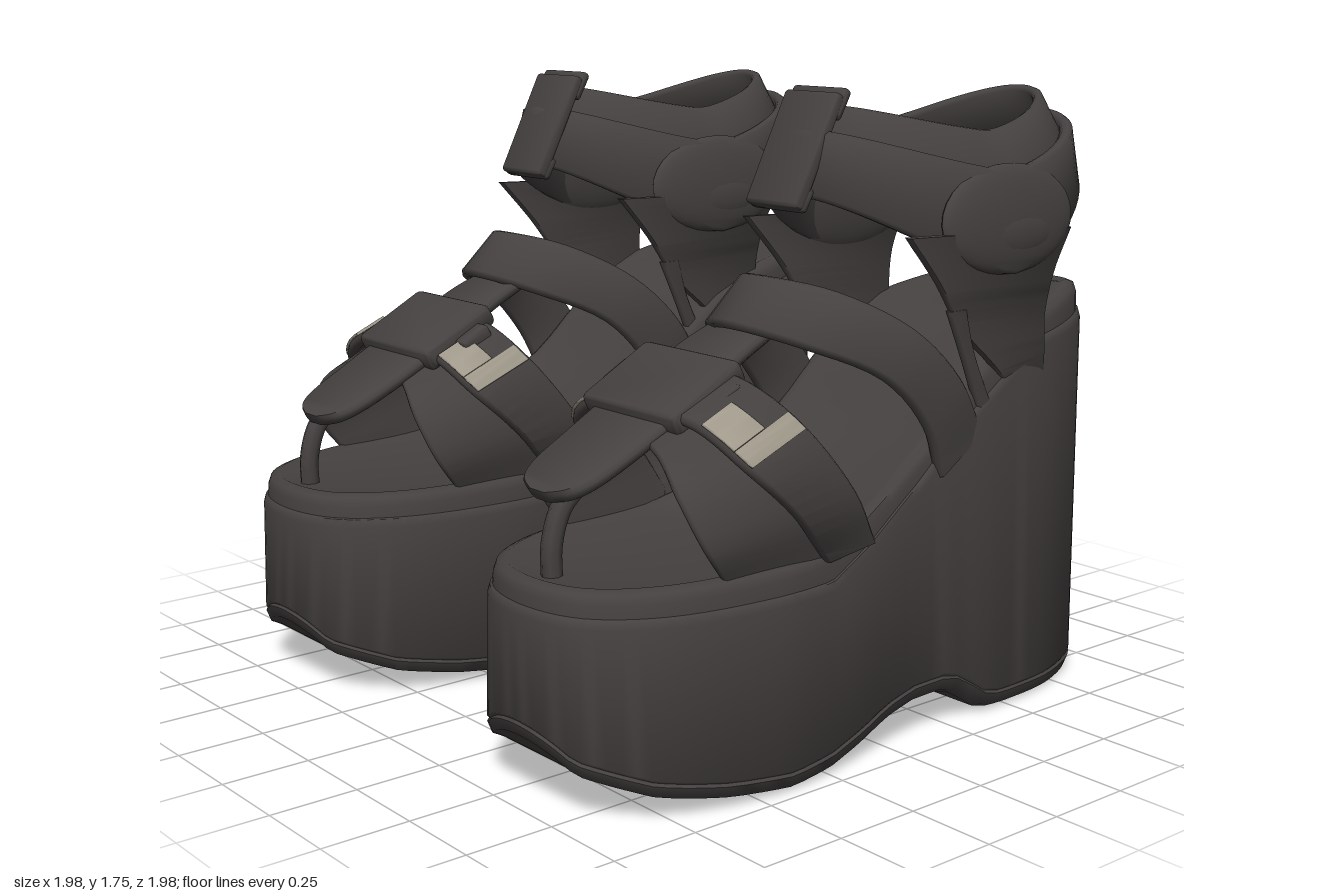
import * as THREE from 'three';
import { toCreasedNormals } from 'three/addons/utils/BufferGeometryUtils.js';
import { RoundedBoxGeometry } from 'three/addons/geometries/RoundedBoxGeometry.js';

const leather = new THREE.MeshStandardMaterial({ color: 0x454140 });
leather.name = 'charcoal leather';
const metal = new THREE.MeshStandardMaterial({ color: 0xa39c8e });
metal.name = 'beige tab';

const V = (x, y, z) => new THREE.Vector3(x, y, z);

// Piecewise linear height along z; table runs from toe to heel
function along(table, z) {
  if (z >= table[0][0]) return table[0][1];
  for (let i = 1; i < table.length; i++) {
    const [z0, y0] = table[i - 1], [z1, y1] = table[i];
    if (z >= z1) return y0 + (y1 - y0) * (z - z0) / (z1 - z0);
  }
  return table[table.length - 1][1];
}

// Skin a list of equal loops, capped at the ends unless closed
function loft(rings, closed = false) {
  const n = rings[0].length, m = rings.length, pos = [], idx = [];
  rings.forEach(r => r.forEach(p => pos.push(p.x, p.y, p.z)));
  for (let i = 0; i < (closed ? m : m - 1); i++) {
    for (let j = 0; j < n; j++) {
      const a = i * n + j, b = i * n + (j + 1) % n;
      const c = ((i + 1) % m) * n + j, d = ((i + 1) % m) * n + (j + 1) % n;
      idx.push(a, b, c, b, d, c);
    }
  }
  if (!closed) {
    for (const [o, end] of [[0, false], [(m - 1) * n, true]]) {
      const tri = (a, b, c) => end ? idx.push(o + a, o + b, o + c) : idx.push(o + a, o + c, o + b);
      tri(0, 1, n - 1);
      for (let i = 1; i < n / 2; i++) {
        tri(i, i + 1, n - i);
        if (i + 1 < n - i - 1) tri(i + 1, n - i - 1, n - i);
      }
    }
  }
  const g = new THREE.BufferGeometry();
  g.setAttribute('position', new THREE.Float32BufferAttribute(pos, 3));
  g.setIndex(idx);
  return g;
}

// Band of given thickness between two edge curves
function strap(a, b, thick, o = {}) {
  const { closed = false, from = 0, to = 1, w0 = 0, w1 = 1, lift = 0, steps = 40 } = o;
  const ca = new THREE.CatmullRomCurve3(a, closed), cb = new THREE.CatmullRomCurve3(b, closed);
  const edges = [], count = closed ? steps : steps + 1;
  for (let i = 0; i < count; i++) {
    const t = from + (to - from) * i / steps, p = ca.getPoint(t), q = cb.getPoint(t);
    edges.push([p.clone().lerp(q, w0), p.clone().lerp(q, w1)]);
  }
  const mid = i => edges[i][0].clone().add(edges[i][1]);
  const h = thick / 2, c = thick * 0.3;
  const rings = edges.map(([p, q], i) => {
    const next = closed ? (i + 1) % count : Math.min(i + 1, count - 1);
    const prev = closed ? (i + count - 1) % count : Math.max(i - 1, 0);
    const W = q.clone().sub(p), len = W.length();
    W.normalize();
    const N = W.clone().cross(mid(next).sub(mid(prev))).normalize();
    return [[c, h], [len - c, h], [len, h - c], [len, c - h], [len - c, -h], [c, -h], [0, c - h], [0, h - c]]
      .map(([w, k]) => p.clone().addScaledVector(W, w).addScaledVector(N, k + lift));
  });
  return loft(rings, closed);
}

// Points from the outer side to the middle, continued to the other side
const arch = pts => [
  ...pts.map(p => V(...p)),
  ...pts.slice(0, -1).reverse().map(([x, y, z]) => V(-x, y, z)),
];

// Oval loop with separate heights at front, sides and back
function oval(hw, hz, cz, front, side, back) {
  return Array.from({ length: 24 }, (_, i) => {
    const t = i / 24 * Math.PI * 2, c = Math.cos(t);
    return V(hw * Math.sin(t), side + Math.abs(c) ** 1.35 * ((c > 0 ? front : back) - side), cz + hz * c);
  });
}

function box(w, h, d, x, y, z, tilt, r = 0.012) {
  return new RoundedBoxGeometry(w, h, d, 2, r).rotateX(tilt).translate(x, y, z);
}

// Sole outline and height profiles
const half = [[0.2, 0.94], [0.33, 0.77], [0.388, 0.45], [0.37, 0.2], [0.335, -0.1],
  [0.33, -0.45], [0.305, -0.72], [0.2, -0.92]];
const outlineCurve = new THREE.CatmullRomCurve3([
  V(0, 0, 0.99), ...half.map(([x, z]) => V(x, 0, z)),
  V(0, 0, -0.99), ...half.slice().reverse().map(([x, z]) => V(-x, 0, z)),
], true);
// the heel sits slightly towards the inner side
const outline = Array.from({ length: 108 }, (_, i) => outlineCurve.getPoint(i / 108))
  .map(p => V(p.x + Math.min(0, p.z) * 0.015, 0, p.z));
const under = [[0.99, 0.17], [0.95, 0.11], [0.8, 0.055], [0.6, 0.02], [0.4, 0], [0.25, 0.01], [0.12, 0.045],
  [0.02, 0.08], [-0.1, 0.1], [-0.25, 0.1], [-0.32, 0.065], [-0.38, 0.02], [-0.46, 0], [-0.9, 0], [-0.99, 0.03]];
const soleTop = [[0.99, 0.53], [0.25, 0.53], [0.1, 0.6], [-0.1, 0.72], [-0.34, 0.9], [-0.6, 1.06], [-0.98, 1.11]];
const bedTop = [[0.96, 0.59], [0.3, 0.6], [0.18, 0.63], [0, 0.72], [-0.18, 0.83], [-0.31, 0.95],
  [-0.45, 1.05], [-0.6, 1.12], [-0.9, 1.18], [-0.97, 1.17]];
const soleRing = (inset, table, dy) => outline.map(p =>
  V(p.x * (1 - inset / 0.36), along(table, p.z) + dy, p.z * (1 - inset)));

function createShoe(side) {
  const shoe = new THREE.Group();
  shoe.name = side > 0 ? 'leftSandal' : 'rightSandal';

  const add = (name, geo, mat = leather) => {
    let g = geo.index ? geo.toNonIndexed() : geo;
    for (const k of ['normal', 'uv']) g.deleteAttribute(k);
    g.clearGroups();
    if (side < 0) { // mirror and keep the faces turned outwards
      g.scale(-1, 1, 1);
      const p = g.attributes.position, s = V(0, 0, 0), t = V(0, 0, 0);
      for (let i = 0; i < p.count; i += 3) {
        s.fromBufferAttribute(p, i + 1);
        t.fromBufferAttribute(p, i + 2);
        p.setXYZ(i + 1, t.x, t.y, t.z);
        p.setXYZ(i + 2, s.x, s.y, s.z);
      }
    }
    g = toCreasedNormals(g, 0.9);
    const mesh = new THREE.Mesh(g, mat);
    mesh.name = name;
    shoe.add(mesh);
  };

  // Platform wedge with a fine outsole groove, and the footbed on top
  add('platformSole', loft([
    soleRing(0.04, under, 0), soleRing(0.012, under, 0.012), soleRing(0, under, 0.045),
    soleRing(0.006, under, 0.052), soleRing(0, under, 0.06), soleRing(0.006, soleTop, -0.03),
    soleRing(0.012, soleTop, -0.008), soleRing(0.03, soleTop, 0)]));
  add('footbed', loft([
    soleRing(0.017, soleTop, -0.02), soleRing(0.02, bedTop, -0.035), soleRing(0.028, bedTop, -0.01),
    soleRing(0.05, bedTop, 0), soleRing(0.07, bedTop, -0.008)]));

  // Toe straps
  add('vamp', strap(
    arch([[0.34, 0.58, 0.2], [0.365, 0.75, 0.3], [0.325, 0.88, 0.42], [0.2, 0.96, 0.46], [0, 0.97, 0.48]]),
    arch([[0.32, 0.56, 0.57], [0.33, 0.68, 0.66], [0.265, 0.8, 0.69], [0.15, 0.88, 0.66], [0, 0.9, 0.63]]), 0.025));
  const toeA = arch([[0.335, 0.6, 0.08], [0.38, 0.76, 0.2], [0.34, 0.94, 0.34], [0.2, 1.03, 0.39], [0, 1.05, 0.4]]);
  const toeB = arch([[0.345, 0.58, 0.27], [0.385, 0.73, 0.41], [0.345, 0.86, 0.54], [0.2, 0.945, 0.58], [0, 0.96, 0.6]]);
  add('toeStrap', strap(toeA, toeB, 0.035));

  // L-shaped beige tabs lying on the toe strap
  for (const flip of [false, true]) {
    for (const [from, to, w0, w1] of [[0.245, 0.285, 0.06, 0.97], [0.285, 0.36, 0.45, 0.97]]) {
      const range = flip ? { from: 1 - to, to: 1 - from } : { from, to };
      add('strapTab', strap(toeA, toeB, 0.009, { ...range, w0, w1, lift: -0.021, steps: 6 }), metal);
    }
  }

  // Front buckle, tongue and toe loop
  const bx = -0.03;
  add('toeBuckle', box(0.38, 0.07, 0.26, bx, 1.0, 0.49, 0.5, 0.02));
  for (const s of [-1, 1]) add('buckleSlider', box(0.06, 0.05, 0.1, bx + s * 0.205, 0.995, 0.46, 0.5));
  const runner = pts => strap(pts.map(([x, y, z]) => V(bx - x, y, z)), pts.map(([x, y, z]) => V(bx + x, y, z)),
    0.035, { steps: 14 });
  add('toeTongue', runner([[0.15, 0.95, 0.56], [0.145, 0.88, 0.69], [0.13, 0.82, 0.81], [0.1, 0.795, 0.86], [0.04, 0.78, 0.885]]));
  add('instepTongue', runner([[0.13, 1.01, 0.44], [0.12, 1.08, 0.31], [0.11, 1.12, 0.22], [0.1, 1.16, 0.14]]));
  add('toeLoop', new THREE.TubeGeometry(new THREE.CatmullRomCurve3([
    V(0.04, 0.8, 0.8), V(0.04, 0.75, 0.85), V(0.04, 0.66, 0.88), V(0.04, 0.57, 0.88)].map(p => p.setX(p.x + bx))), 16, 0.028, 8));

  // Instep strap
  add('instepStrap', strap(
    arch([[0.3, 0.82, -0.36], [0.31, 0.98, -0.26], [0.285, 1.13, -0.1], [0.18, 1.23, 0.07], [0, 1.26, 0.16]]),
    arch([[0.315, 0.72, -0.18], [0.33, 0.87, -0.11], [0.305, 1.01, 0.02], [0.19, 1.1, 0.2], [0, 1.14, 0.29]]), 0.035));

  // Ankle collar and the strap around it
  const ax = 0.01;
  const loop = (...o) => oval(...o).map(p => p.setX(p.x + ax));
  add('ankleCollar', strap(loop(0.205, 0.37, -0.45, 1.7, 1.63, 1.73),
    loop(0.31, 0.455, -0.445, 1.57, 1.46, 1.57), 0.03, { closed: true, steps: 72 }));
  add('ankleStrap', strap(loop(0.3, 0.465, -0.44, 1.645, 1.53, 1.66),
    loop(0.325, 0.505, -0.437, 1.47, 1.25, 1.5), 0.036, { closed: true, steps: 72 }));
  for (const s of [-1, 1]) {
    const sx = (x, y, z) => V(ax + s * x, y, z);
    add('anklePad', new THREE.SphereGeometry(1, 28, 16).scale(0.038, 0.15, 0.26).rotateZ(s * 0.08)
      .translate(ax + s * 0.308, 1.4, -0.43));
    add('anklePadInset', new THREE.SphereGeometry(1, 24, 12).scale(0.026, 0.07, 0.15).translate(ax + s * 0.325, 1.36, -0.45));
    // Side supports down to the footbed
    add('sidePanel', strap(
      [sx(0.315, 1.38, -0.03), sx(0.31, 1.25, -0.15), sx(0.3, 1.11, -0.26), sx(0.295, 1.0, -0.39), sx(0.285, 0.9, -0.5)],
      [sx(0.315, 1.36, -0.68), sx(0.31, 1.24, -0.62), sx(0.3, 1.12, -0.6), sx(0.295, 1.03, -0.61), sx(0.285, 0.95, -0.62)],
      0.024, { steps: 20 }));
    add('sideStrip', strap(
      [sx(0.306, 1.17, -0.2), sx(0.302, 1.05, -0.26), sx(0.295, 0.88, -0.34)],
      [sx(0.306, 1.17, -0.27), sx(0.302, 1.05, -0.31), sx(0.295, 0.88, -0.4)], 0.024, { steps: 12 }));
  }

  // Ankle buckle with its two clip ends
  const cx = -0.02;
  add('ankleBuckle', box(0.205, 0.33, 0.035, cx, 1.59, 0.045, -0.46));
  add('buckleClip', box(0.205, 0.09, 0.03, cx, 1.71, -0.035, -0.5));
  add('buckleClip', box(0.205, 0.07, 0.03, cx, 1.465, 0.09, -0.5));

  shoe.position.x = side * 0.59;
  return shoe;
}

export function createModel() {
  const model = new THREE.Group();
  model.name = 'platformSandals';
  for (const side of [1, -1]) model.add(createShoe(side));
  return model;
}
